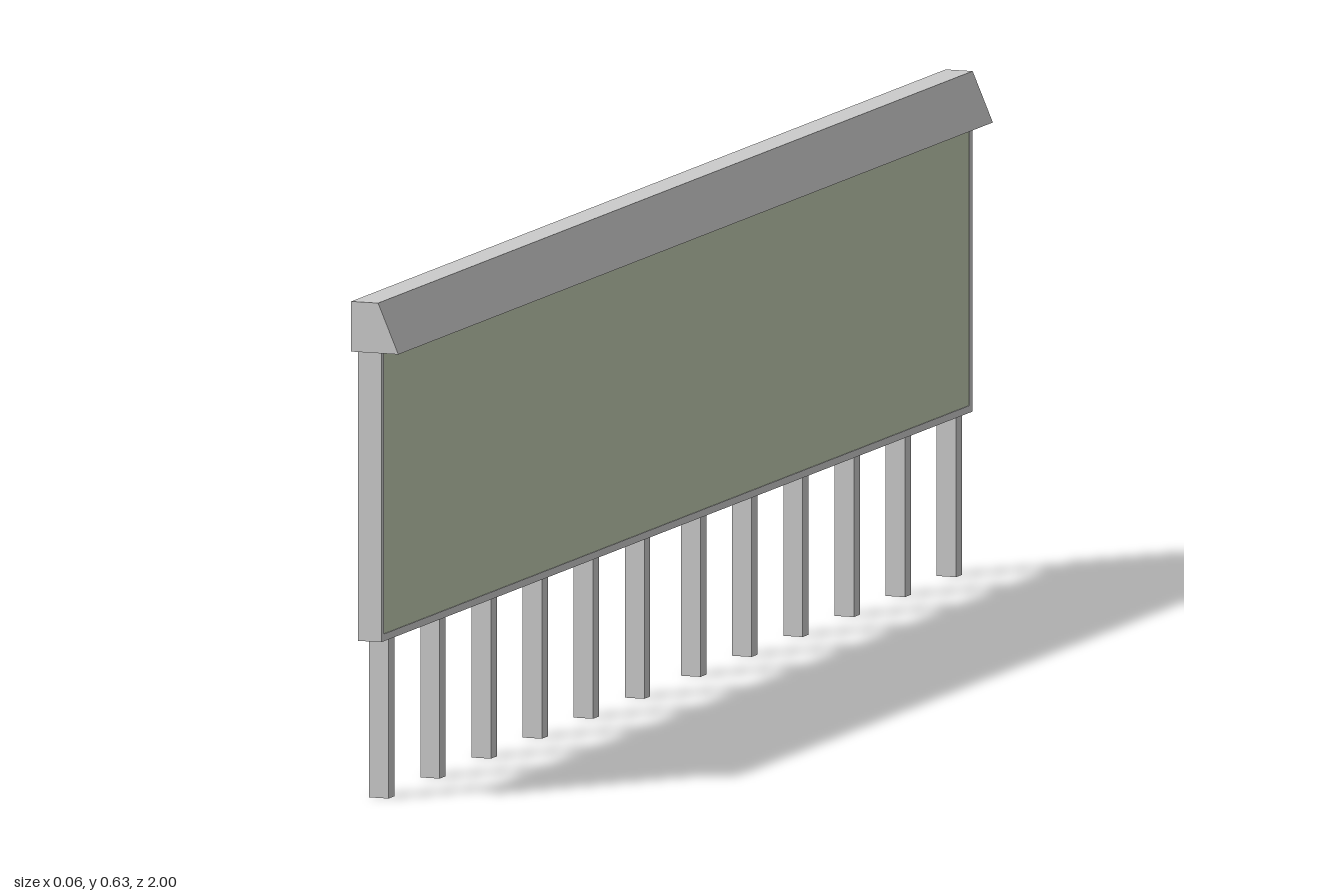
import * as THREE from 'three';

const grey = new THREE.MeshStandardMaterial({ color: 0xcccccc, flatShading: true });
const green = new THREE.MeshStandardMaterial({ color: 0xc0cab0, flatShading: true });

// Box given by its extents along each axis
function box(name, [x0, x1], [y0, y1], [z0, z1], material = grey) {
  const mesh = new THREE.Mesh(new THREE.BoxGeometry(x1 - x0, y1 - y0, z1 - z0), material);
  mesh.position.set((x0 + x1) / 2, (y0 + y1) / 2, (z0 + z1) / 2);
  mesh.name = name;
  return mesh;
}

export function createModel() {
  const model = new THREE.Group();
  model.name = 'panelFence';

  const bottom = 0.203, top = 0.567, end = 0.994, rim = 0.009;
  const frameX = [-0.025, 0.006];

  // Long infill panel, slightly recessed in its frame
  model.add(box('panel', [-0.024, 0.005], [bottom + rim, top], [-end + rim, end - rim], green));

  // Frame: bottom rail and an upright at each end
  model.add(box('bottomRail', frameX, [bottom, bottom + rim], [-end, end]));
  for (const s of [-1, 1]) {
    const z = [s * end, s * (end - rim)].sort((a, b) => a - b);
    model.add(box('endUpright', frameX, [bottom + rim, top], z));
  }

  // Two runs of six posts, rising behind the panel to the cap
  const posts = new THREE.Group();
  posts.name = 'posts';
  for (const start of [0.942, -0.107]) {
    for (let i = 0; i < 6; i++) {
      const z = start - i * 0.172;
      posts.add(box('post', [-0.027, -0.001], [0, top], [z - 0.01, z + 0.01]));
    }
  }
  model.add(posts);

  // Cap with one sloping side, running the full length
  const profile = new THREE.Shape([
    new THREE.Vector2(-0.032, top),
    new THREE.Vector2(0.031, top),
    new THREE.Vector2(0.004, 0.63),
    new THREE.Vector2(-0.032, 0.63),
  ]);
  const capGeometry = new THREE.ExtrudeGeometry(profile, { depth: 2, bevelEnabled: false });
  capGeometry.translate(0, 0, -1);
  const cap = new THREE.Mesh(capGeometry, grey);
  cap.name = 'cap';
  model.add(cap);

  return model;
}
